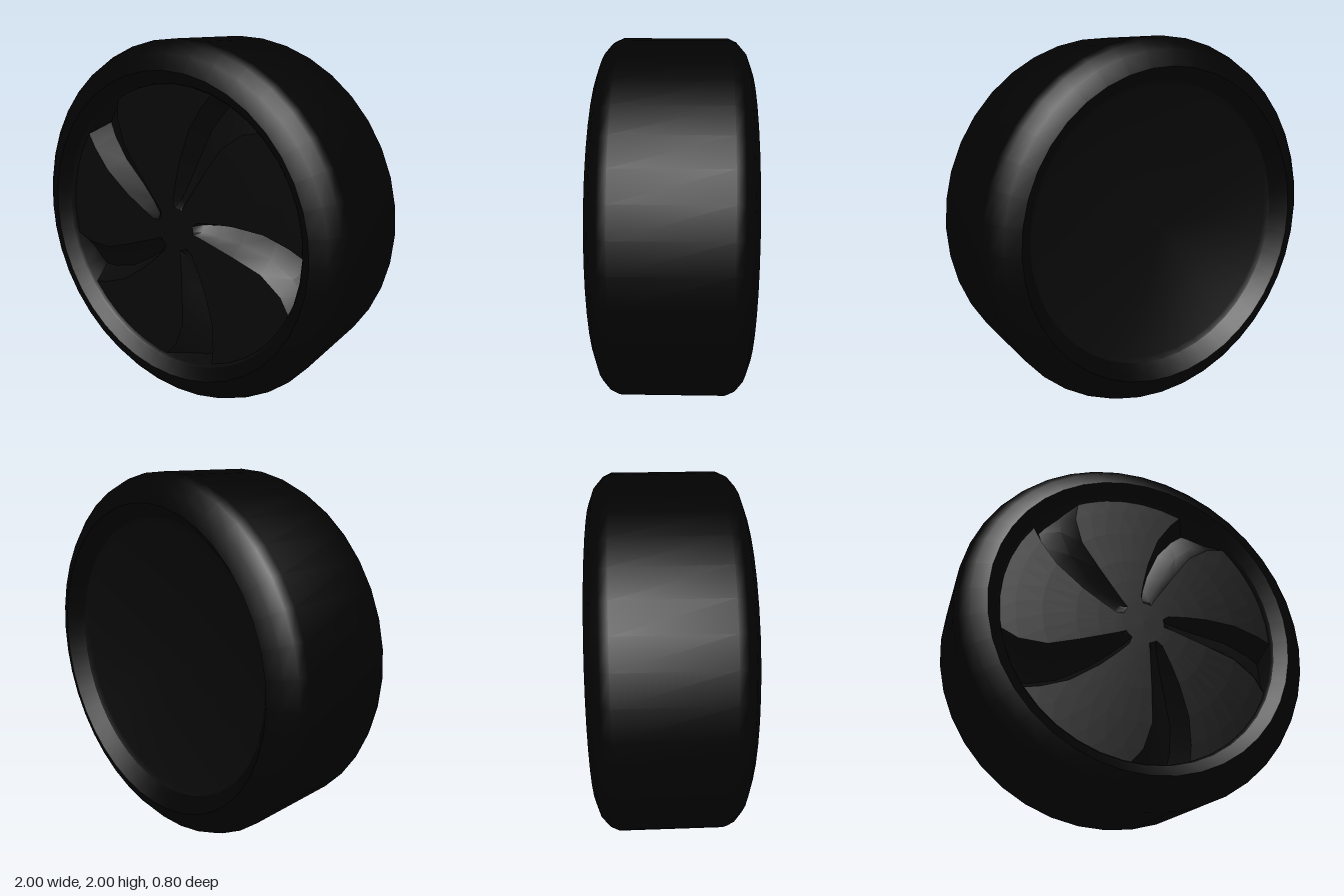
import * as THREE from 'three';
import { toCreasedNormals } from 'three/addons/utils/BufferGeometryUtils.js';

const SIDES = 40;
const FACE_Z = 0.32; // plane of the hub and the broad vanes
const rubber = new THREE.MeshStandardMaterial({ color: 0x020202 });
const alloy = new THREE.MeshStandardMaterial({ color: 0x090909 });

// Turn a [radius, z] profile about the wheel's axle; list it from back to front.
function turned(name, profile, material) {
  const points = profile.map(([r, z]) => new THREE.Vector2(r, z));
  const geometry = new THREE.LatheGeometry(points, SIDES).rotateX(Math.PI / 2);
  const mesh = new THREE.Mesh(toCreasedNormals(geometry, 0.6), material);
  mesh.name = name;
  return mesh;
}

// Five broad swept vanes separated by tapered channels that ramp down to a steep wall.
function vaneGeometry() {
  // radius, channel start angle, channel end angle (degrees), channel depth
  const rows = [
    [0.12, -4, 26, 0], [0.16, -6, 23, 0.05], [0.26, -10, 17, 0.09], [0.38, -12, 13, 0.12],
    [0.56, -14, 8, 0.13], [0.7, -19, 3, 0.13], [0.78, -24, 0, 0.13],
  ];
  const vaneSteps = 6;
  const positions = [];

  // Cross-section of one row: ramp, wall, then flat vane up to the next channel
  const section = ([r, start, end, depth], turn) => {
    const at = (deg, z) => {
      const a = THREE.MathUtils.degToRad(deg + turn);
      return [r * Math.cos(a), r * Math.sin(a), z];
    };
    const span = end - start;
    const points = [
      at(start, FACE_Z),
      at(start + span * 0.3, FACE_Z - depth * 0.6),
      at(end - span * 0.25, FACE_Z - depth),
    ];
    for (let i = 0; i <= vaneSteps; i++) {
      points.push(at(THREE.MathUtils.lerp(end, start + 72, i / vaneSteps), FACE_Z));
    }
    return points;
  };

  for (let k = 0; k < 5; k++) {
    const turn = k * 72;
    const sections = rows.map((row) => section(row, turn));
    for (let j = 0; j < sections.length; j++) {
      const outer = sections[j];
      for (let i = 0; i < outer.length - 1; i++) {
        if (j === 0) {
          // Hub centre
          positions.push(0, 0, FACE_Z, ...outer[i], ...outer[i + 1]);
        } else {
          const inner = sections[j - 1];
          positions.push(...inner[i], ...outer[i], ...outer[i + 1]);
          positions.push(...inner[i], ...outer[i + 1], ...inner[i + 1]);
        }
      }
    }
  }
  const geometry = new THREE.BufferGeometry();
  geometry.setAttribute('position', new THREE.Float32BufferAttribute(positions, 3));
  return toCreasedNormals(geometry, 0.5);
}

export function createModel() {
  const wheel = new THREE.Group();
  wheel.name = 'wheel';

  // Tyre with rounded shoulders and lips that slope in towards the rim
  wheel.add(turned('tyre', [
    [0.775, -0.32], [0.85, -0.4], [0.93, -0.37], [0.98, -0.325], [1, -0.28],
    [1, 0.28], [0.98, 0.325], [0.93, 0.37], [0.85, 0.4], [0.79, 0.345],
  ], rubber));

  // Rim edge and the short wall that closes the outer end of the channels
  wheel.add(turned('rim', [[0.79, 0.345], [0.78, 0.33], [0.775, 0.18]], alloy));

  const vanes = new THREE.Mesh(vaneGeometry(), alloy);
  vanes.name = 'vanes';
  wheel.add(vanes);

  // Dished plate closing the back
  wheel.add(turned('backPlate', [[0, -0.3], [0.745, -0.3], [0.775, -0.32]], alloy));

  wheel.position.y = 1;
  const model = new THREE.Group();
  model.add(wheel);
  return model;
}
